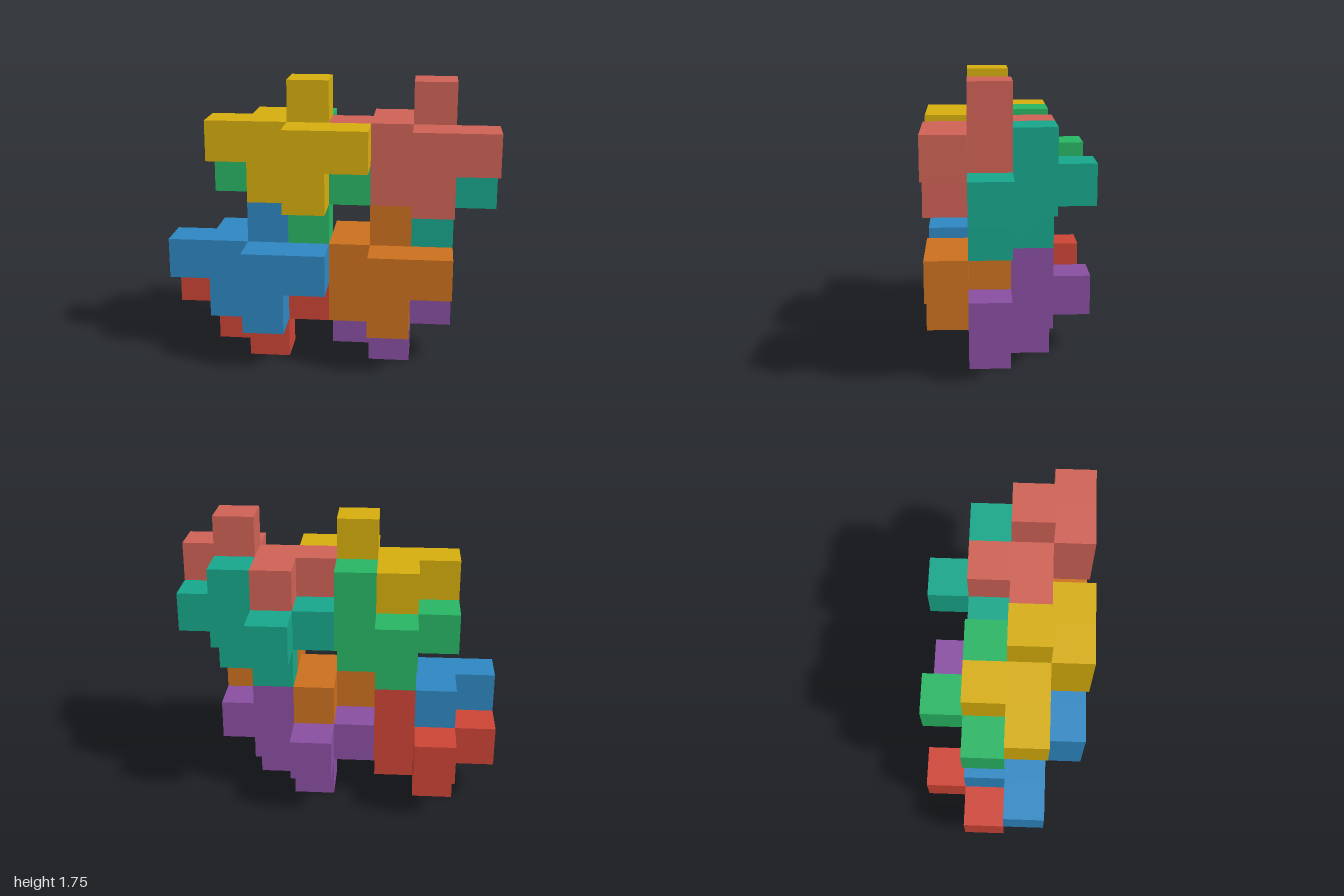
import * as THREE from 'three';
import { mergeGeometries } from 'three/addons/utils/BufferGeometryUtils.js';

const CELL = 0.25;

// Unit cells (x, y, z) of the one tile shape that every piece repeats
const TILE = [
  [3, 6, 2],
  [1, 5, 2], [2, 5, 2], [3, 5, 2],
  [2, 5, 1], [3, 5, 3], [4, 5, 3],
  [2, 4, 2], [3, 4, 3],
];

// Interlocking pieces: name, colour, offset in cells
const PIECES = [
  ['yellowPiece', 0xd4ac0d, [0, 0, 0]],
  ['greenPiece', 0x28b463, [0, -1, -1]],
  ['salmonPiece', 0xcd6155, [3, 0, 0]],
  ['tealPiece', 0x17a589, [3, -1, -1]],
  ['bluePiece', 0x2e86c1, [-1, -3, 0]],
  ['redPiece', 0xcb4335, [-1, -4, -1]],
  ['orangePiece', 0xca6f1e, [2, -3, 0]],
  ['purplePiece', 0x884ea0, [2, -4, -1]],
];

const DIRECTIONS = [
  [1, 0, 0], [-1, 0, 0], [0, 1, 0], [0, -1, 0], [0, 0, 1], [0, 0, -1],
];

// Outer skin of a group of cells: one square for each side without a neighbour
function cellSkin(cells) {
  const filled = new Set(cells.map((c) => c.join()));
  const front = new THREE.Vector3(0, 0, 1);
  const squares = [];
  for (const [x, y, z] of cells) {
    for (const d of DIRECTIONS) {
      if (filled.has([x + d[0], y + d[1], z + d[2]].join())) continue;
      const normal = new THREE.Vector3(...d);
      const turn = new THREE.Quaternion().setFromUnitVectors(front, normal);
      const square = new THREE.PlaneGeometry(CELL, CELL);
      square.translate(0, 0, CELL / 2).applyQuaternion(turn);
      square.translate((x + 0.5) * CELL, (y + 0.5) * CELL, (z + 0.5) * CELL);
      squares.push(square);
    }
  }
  return mergeGeometries(squares);
}

export function createModel() {
  const model = new THREE.Group();
  model.name = 'interlockingTiles';
  const tile = cellSkin(TILE);

  for (const [name, color, offset] of PIECES) {
    const piece = new THREE.Mesh(tile, new THREE.MeshStandardMaterial({ color }));
    piece.name = name;
    // Cell grid is 8 wide and 4 deep, centred on x and z
    piece.position.set(offset[0] - 4, offset[1], offset[2] - 2).multiplyScalar(CELL);
    model.add(piece);
  }
  return model;
}
